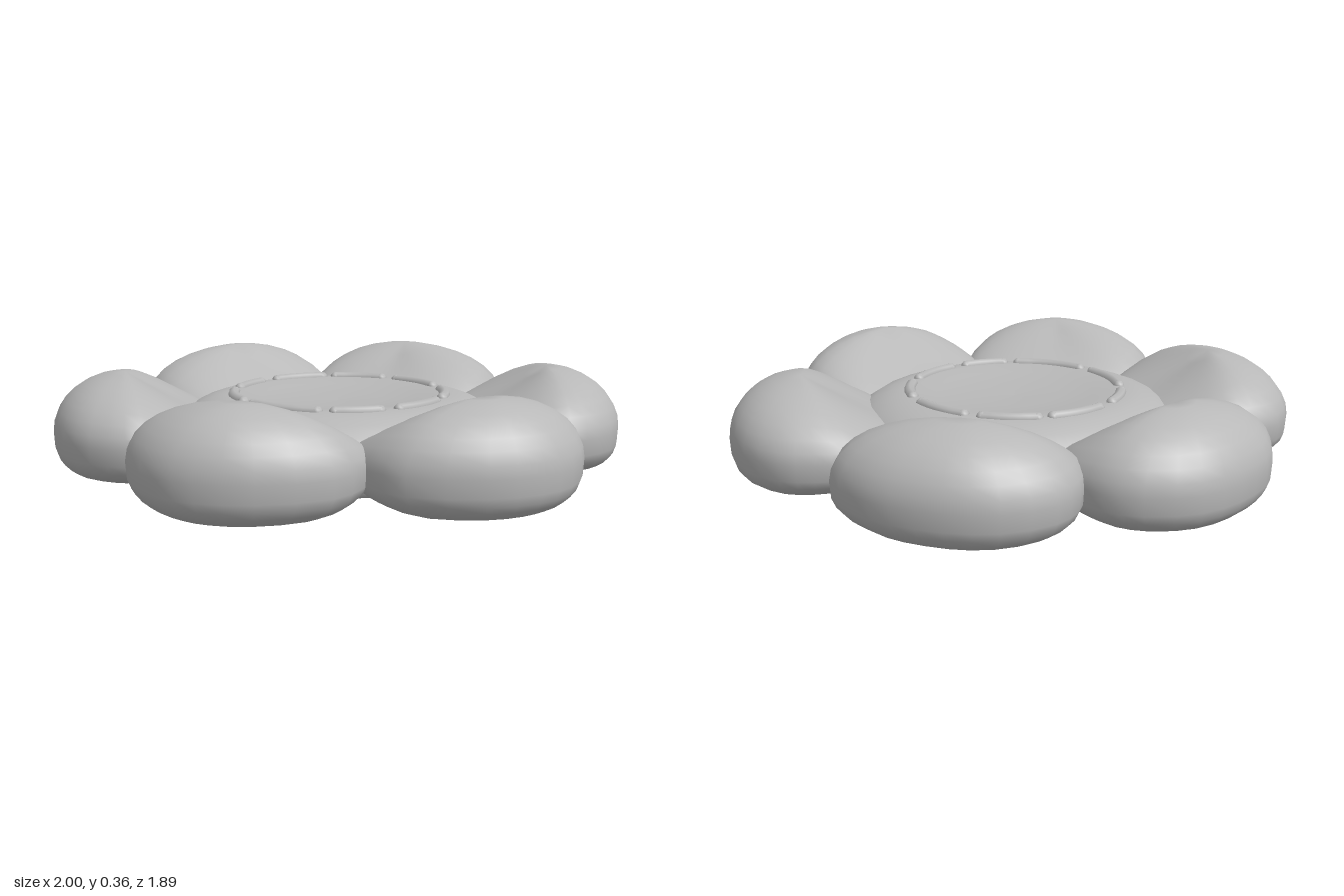
import * as THREE from 'three';

const clothGrey = new THREE.MeshStandardMaterial({ color: 0xb8b8b8 });
clothGrey.name = 'clothGrey';

// Puffy petal: an outline in x,z swept over the rings of a pillow
function petalGeometry(points, cx, cz, top) {
  const N = 28, RINGS = 16, EQUATOR = 0.155, BOTTOM = 0.003;
  const curve = new THREE.CatmullRomCurve3(
    points.map(([x, z]) => new THREE.Vector3(x, 0, z)), true, 'centripetal');
  const outline = curve.getPoints(N).slice(0, N);
  const inward = new THREE.Vector2(-cx, -cz).normalize();
  const pos = [cx, top, cz], index = [];
  for (let j = 1; j < RINGS; j++) {
    const phi = (j / RINGS) * Math.PI;
    const upper = phi <= Math.PI / 2;
    const s = upper ? Math.sin(phi) : Math.pow(Math.sin(phi), 0.62);
    for (const p of outline) {
      const d = new THREE.Vector2(p.x - cx, p.z - cz);
      const facing = Math.max(0, d.clone().normalize().dot(inward));
      let y;
      if (upper) {
        // The side facing the middle slopes straight down, leaving a soft crease
        const rise = THREE.MathUtils.lerp(Math.cos(phi), Math.pow(1 - s, 1.2), Math.pow(facing, 1.5));
        y = EQUATOR + rise * (top - EQUATOR);
      } else {
        // Flat, boxy underside that lifts slightly towards the middle
        const floor = BOTTOM + 0.035 * facing * s;
        y = EQUATOR - Math.pow(-Math.cos(phi), 0.62) * (EQUATOR - floor);
      }
      pos.push(cx + d.x * s, y, cz + d.y * s);
    }
  }
  pos.push(cx, BOTTOM, cz);
  const at = (j, i) => 1 + (j - 1) * N + (i % N);
  const last = pos.length / 3 - 1;
  for (let i = 0; i < N; i++) {
    index.push(0, at(1, i + 1), at(1, i));
    for (let j = 1; j < RINGS - 1; j++) {
      const a = at(j, i), b = at(j, i + 1), c = at(j + 1, i), e = at(j + 1, i + 1);
      index.push(a, b, c, b, e, c);
    }
    index.push(at(RINGS - 1, i), at(RINGS - 1, i + 1), last);
  }
  const g = new THREE.BufferGeometry();
  g.setAttribute('position', new THREE.Float32BufferAttribute(pos, 3));
  g.setIndex(index);
  g.computeVertexNormals();
  return g;
}

// Petals of the left half; each is mirrored across x
const petals = [
  { name: 'sidePetal', c: [0.75, 0.02], top: 0.35, pts: [
    [1, -0.02], [0.97, 0.18], [0.89, 0.34], [0.78, 0.42], [0.66, 0.45], [0.52, 0.36], [0.4, 0.22],
    [0.35, 0.02], [0.4, -0.2], [0.52, -0.33], [0.64, -0.4], [0.75, -0.39], [0.86, -0.35], [0.96, -0.22]] },
  { name: 'frontPetal', c: [0.36, 0.7], top: 0.355, pts: [
    [0.71, 0.5], [0.69, 0.67], [0.61, 0.82], [0.5, 0.9], [0.33, 0.94], [0.1, 0.89], [0, 0.78],
    [-0.04, 0.65], [-0.02, 0.5], [0.06, 0.38], [0.17, 0.31], [0.33, 0.28], [0.5, 0.29], [0.64, 0.37]] },
  { name: 'backPetal', c: [0.34, -0.66], top: 0.36, pts: [
    [0.72, -0.54], [0.66, -0.38], [0.55, -0.28], [0.42, -0.23], [0.28, -0.25], [0.17, -0.31], [0.06, -0.4],
    [-0.02, -0.52], [-0.05, -0.66], [-0.01, -0.78], [0.04, -0.86], [0.12, -0.92], [0.27, -0.95],
    [0.4, -0.92], [0.52, -0.85], [0.62, -0.76], [0.68, -0.66]] },
];

export function createModel() {
  const model = new THREE.Group();
  model.name = 'flowerCushion';
  const add = (geometry, name, parent = model) => {
    const mesh = new THREE.Mesh(geometry, clothGrey);
    mesh.name = name;
    parent.add(mesh);
    return mesh;
  };

  for (const { name, c, top, pts } of petals) {
    add(petalGeometry(pts, c[0], c[1], top), name + 'Left');
    const mirrored = pts.map(([x, z]) => [-x, z]).reverse();
    add(petalGeometry(mirrored, -c[0], c[1], top), name + 'Right');
  }

  // Round middle with a shallow dish and a wide flat underside
  const profile = [[0, 0.032], [0.4, 0.03], [0.62, 0.03], [0.65, 0.08], [0.6, 0.15], [0.55, 0.2], [0.5, 0.232],
    [0.45, 0.25], [0.4, 0.26], [0.35, 0.26], [0.28, 0.248], [0.16, 0.236], [0, 0.232]]
    .map(([r, y]) => new THREE.Vector2(r, y));
  add(new THREE.LatheGeometry(profile, 28), 'centreCushion');

  // Raised stitches around the dish: start and end angle in degrees
  const stitches = new THREE.Group();
  stitches.name = 'stitches';
  model.add(stitches);
  const arcs = [[-86, -58], [-48, -17], [-4, 23], [35, 64], [75, 98], [107, 146], [156, 189], [202, 224], [237, 266]];
  const RX = 0.375, RZ = 0.388, Y = 0.256, THICK = 0.021;
  for (const [from, to] of arcs) {
    const path = [0, 1, 2, 3].map((k) => {
      const a = THREE.MathUtils.degToRad(from + ((to - from) * k) / 3);
      return new THREE.Vector3(RX * Math.cos(a), Y, RZ * Math.sin(a));
    });
    add(new THREE.TubeGeometry(new THREE.CatmullRomCurve3(path), 6, THICK, 8), 'stitch', stitches);
    for (const end of [path[0], path[3]]) {
      add(new THREE.SphereGeometry(THICK, 8, 6), 'stitchEnd', stitches).position.copy(end);
    }
  }
  return model;
}
